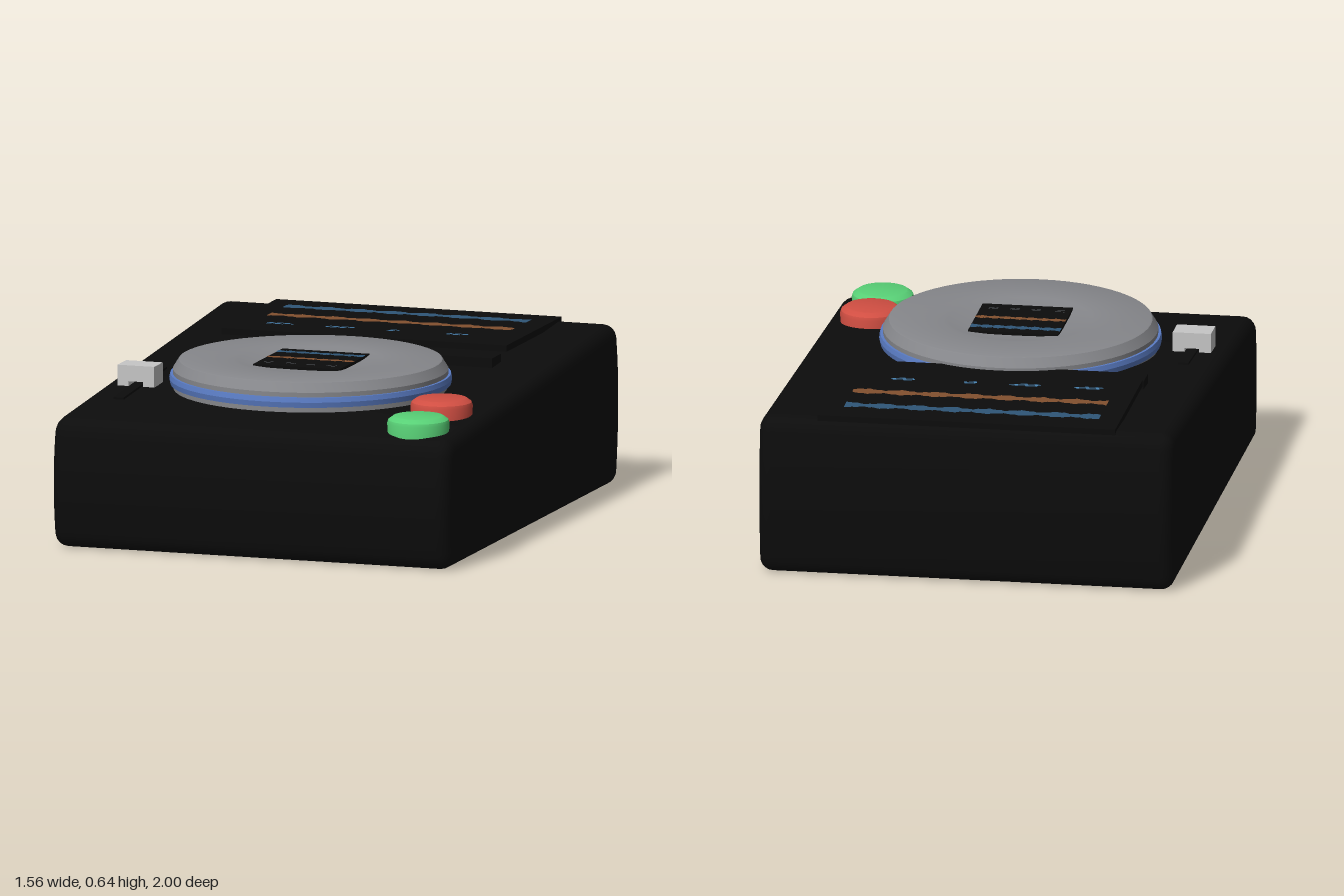
import * as THREE from 'three';
import { toCreasedNormals } from 'three/addons/utils/BufferGeometryUtils.js';

const mat = (name, color, side = THREE.FrontSide) => {
  const m = new THREE.MeshStandardMaterial({ color, side });
  m.name = name;
  return m;
};

export function createModel() {
  const root = new THREE.Group();
  root.name = 'turntableController';

  const black = mat('casing black', 0x0c0c0c);
  const grey = mat('platter grey', 0x86878b);
  const blue = mat('ring blue', 0x5a7cc4);
  const red = mat('button red', 0xd04e42);
  const green = mat('button green', 0x58d076);
  const silver = mat('slider silver', 0xc6c6c6);
  const waveBlue = mat('wave blue', 0x2f5677, THREE.DoubleSide);
  const waveOrange = mat('wave orange', 0x82502f, THREE.DoubleSide);
  const markBlue = mat('mark blue', 0x4a86b4, THREE.DoubleSide);
  const markGrey = mat('mark grey', 0x505358, THREE.DoubleSide);

  const add = (parent, name, geometry, material, x = 0, y = 0, z = 0) => {
    const mesh = new THREE.Mesh(geometry, material);
    mesh.name = name;
    mesh.position.set(x, y, z);
    parent.add(mesh);
    return mesh;
  };
  const lathe = (pts, segments = 64) =>
    toCreasedNormals(new THREE.LatheGeometry(pts.map(([r, y]) => new THREE.Vector2(r, y)), segments), 0.4);

  // Casing: wedge side profile (z, y) with bowed ends, extruded across the width
  const side = new THREE.Shape();
  side.moveTo(0.92, 0);
  side.quadraticCurveTo(0.975, 0, 0.983, 0.06);
  side.quadraticCurveTo(1.017, 0.25, 0.983, 0.42);
  side.quadraticCurveTo(0.975, 0.485, 0.91, 0.491);
  side.lineTo(-0.91, 0.605);
  side.quadraticCurveTo(-0.975, 0.605, -0.98, 0.54);
  side.quadraticCurveTo(-1.02, 0.33, -0.978, 0.06);
  side.quadraticCurveTo(-0.97, 0, -0.92, 0);
  const bevel = 0.05, width = 1.56;
  const casing = new THREE.ExtrudeGeometry(side, {
    depth: width - 2 * bevel, bevelEnabled: true, bevelThickness: bevel,
    bevelSize: bevel, bevelOffset: -bevel, bevelSegments: 5, curveSegments: 8,
  });
  casing.translate(0, 0, -(width / 2 - bevel)).rotateY(-Math.PI / 2);
  add(root, 'casing', toCreasedNormals(casing, 0.6), black);

  // Wave strip: flat shape lying level, its half height varying along x
  const wave = (length, half, phase) => {
    const shape = new THREE.Shape();
    const n = 64;
    const at = (i) => -length / 2 + (length * i) / n;
    const h = (i) => half * (0.68 + 0.2 * Math.sin(i * 0.72 + phase) + 0.12 * Math.sin(i * 2.3 + phase));
    shape.moveTo(at(0), h(0));
    for (let i = 1; i <= n; i++) shape.lineTo(at(i), h(i));
    for (let i = n; i >= 0; i--) shape.lineTo(at(i), -h(i));
    return new THREE.ShapeGeometry(shape).rotateX(-Math.PI / 2);
  };
  const strip = (w, d) => new THREE.PlaneGeometry(w, d).rotateX(-Math.PI / 2);

  // Main display: level plate with two waves and four groups of short lines
  const display = new THREE.Group();
  display.name = 'mainDisplay';
  root.add(display);
  add(display, 'displayPlate', new THREE.BoxGeometry(1.12, 0.024, 0.63), black, 0, 0.606, -0.635);
  add(display, 'upperWave', wave(0.96, 0.036, 0), waveBlue, 0, 0.621, -0.81);
  add(display, 'lowerWave', wave(0.96, 0.035, 2), waveOrange, 0, 0.621, -0.635);
  [[-0.38, 0.11], [-0.14, 0.12], [0.065, 0.05], [0.32, 0.09]].forEach(([x, w]) => {
    add(display, 'displayMark', strip(w * 0.8, 0.008), waveBlue, x, 0.621, -0.476);
    add(display, 'displayMark', strip(w, 0.008), markBlue, x, 0.621, -0.464);
    add(display, 'displayMark', strip(w * 0.6, 0.008), waveBlue, x - w * 0.15, 0.621, -0.452);
  });

  // Bridge bar behind the platter
  add(root, 'bridgeBar', new THREE.BoxGeometry(1.11, 0.04, 0.1), black, 0, 0.575, -0.22);

  // Platter: grey foot, blue ring, bevelled top with a shallow dish
  const platter = new THREE.Group();
  platter.name = 'platter';
  platter.position.set(0, 0, 0.29);
  root.add(platter);
  add(platter, 'platterFoot', lathe([[0, 0.5], [0.51, 0.53], [0.51, 0.555]]), grey);
  add(platter, 'platterRing', lathe([[0.5, 0.55], [0.522, 0.55], [0.526, 0.57], [0.522, 0.588], [0.4, 0.588]]), blue);
  add(platter, 'platterTop', lathe([
    [0.46, 0.585], [0.512, 0.585], [0.512, 0.605], [0.49, 0.64], [0.485, 0.642],
    [0.29, 0.641], [0.27, 0.638], [0.2, 0.629], [0.1, 0.625], [0, 0.624],
  ]), grey);

  // Platter display
  add(platter, 'platterDisplay', new THREE.BoxGeometry(0.34, 0.012, 0.34), black, 0, 0.633, -0.005);
  add(platter, 'smallUpperWave', wave(0.34, 0.024, 1), waveBlue, 0, 0.640, -0.115);
  add(platter, 'smallLowerWave', wave(0.34, 0.02, 3), waveOrange, 0, 0.640, 0);
  for (const x of [-0.13, -0.04, 0.04, 0.12])
    for (const z of [0.103, 0.118])
      add(platter, 'smallMark', strip(0.036, 0.005), markGrey, x, 0.640, z);

  // Push buttons
  const button = lathe([[0.112, -0.06], [0.116, 0.025], [0.112, 0.037], [0.094, 0.05], [0.09, 0.051], [0, 0.051]], 40);
  add(root, 'redButton', button, red, 0.607, 0.525, 0.56);
  add(root, 'greenButton', button, green, 0.607, 0.504, 0.827);

  // Slider: track and a cap notched underneath
  add(root, 'sliderTrack', new THREE.BoxGeometry(0.04, 0.008, 0.5), black, -0.637, 0.528, 0.385).rotation.x = 0.0626;
  const cap = new THREE.Shape();
  [[-0.072, 0], [-0.028, 0], [-0.028, 0.018], [0.028, 0.018], [0.028, 0], [0.072, 0], [0.072, 0.078], [-0.072, 0.078]]
    .forEach(([x, y], i) => (i ? cap.lineTo(x, y) : cap.moveTo(x, y)));
  add(root, 'sliderCap', new THREE.ExtrudeGeometry(cap, { depth: 0.1, bevelEnabled: false }), silver, -0.637, 0.523, 0.335);

  return root;
}
